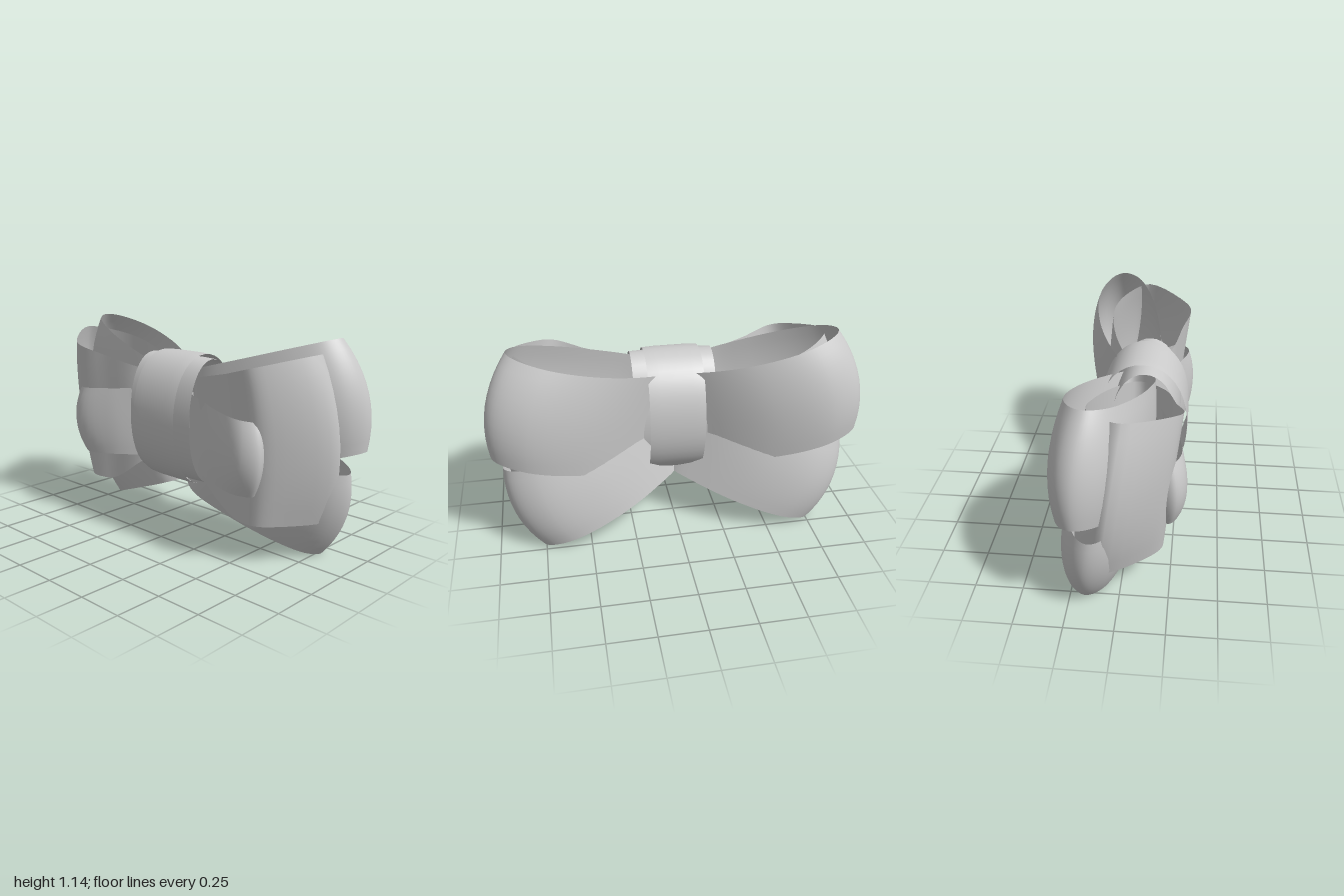
import * as THREE from 'three';

const material = new THREE.MeshStandardMaterial({ color: 0xcccccc, side: THREE.DoubleSide });
const { lerp, smoothstep } = THREE.MathUtils;

// Closed strip: `rows` are rings of points, shared around the seam
function loft(name, rows) {
  const n = rows[0].length, index = [];
  for (let r = 0; r < rows.length - 1; r++) {
    for (let i = 0; i < n; i++) {
      const a = r * n + i, b = r * n + (i + 1) % n;
      index.push(a, b, a + n, b, b + n, a + n);
    }
  }
  const g = new THREE.BufferGeometry().setFromPoints(rows.flat());
  g.setIndex(index);
  g.computeVertexNormals();
  const mesh = new THREE.Mesh(g, material);
  mesh.name = name;
  return mesh;
}

// Ribbon loop: a closed path in (u, z), swept across the ribbon's width.
// above/below give the half widths from the knot (w = 0) to the tip (w = 1);
// the edges draw inwards by bx, bz, and the ribbon leans forward by lean.
function ribbonLoop(name, side, o) {
  const curve = new THREE.CatmullRomCurve3(
    o.path.map(([u, z]) => new THREE.Vector3(u, 0, z)), true, 'centripetal');
  const pts = curve.getPoints(o.segments).slice(0, -1);
  const tip = Math.max(...pts.map(p => p.x));
  const c = Math.cos(o.tilt), s = Math.sin(o.tilt);
  const rows = [];
  for (let r = 0; r <= 10; r++) {
    const v = r / 5 - 1;
    rows.push(pts.map(p => {
      const w = p.x / tip;
      const u = p.x - o.bx * v * v * Math.max(0, p.x - tip / 2);
      const z = p.z - o.bz * v * v * w * (p.z - o.cz) + o.lean * v * w;
      const h = v * (v > 0 ? o.above(w) : o.below(w));
      return new THREE.Vector3(side * (u * c - h * s), o.y + u * s + h * c, z);
    }));
  }
  return loft(name, rows);
}

// Rounded open band wrapped around the middle
function band(name, halfWidth, y0, y1, z0, z1) {
  const rows = [-1, -0.6, 0.6, 1].map(v => {
    const ring = [], shrink = Math.abs(v) === 1 ? 0.99 : 1;
    for (let i = 0; i < 40; i++) {
      const t = i / 40 * Math.PI * 2;
      const f = a => Math.sign(a) * Math.abs(a) ** 0.94 * shrink;
      ring.push(new THREE.Vector3(v * halfWidth,
        (y0 + y1) / 2 + f(Math.sin(t)) * (y1 - y0) / 2,
        (z0 + z1) / 2 + f(Math.cos(t)) * (z1 - z0) / 2));
    }
    return ring;
  });
  return loft(name, rows);
}

const backPath = [[0.06, 0], [0.2, -0.12], [0.5, -0.27], [0.8, -0.315], [0.97, -0.25],
  [1.01, -0.17], [0.96, -0.06], [0.8, 0.04], [0.5, 0.12], [0.2, 0.13]];

const loops = {
  upperLoop: { path: backPath, segments: 64, y: 0.64, tilt: 0.235,
    above: w => lerp(0.25, 0.285, w), below: w => lerp(0.31, 0.28, w),
    bx: 0.12, bz: 0.24, cz: -0.1, lean: 0.03 },
  lowerLoop: { path: backPath.map(([u, z]) => [u * 0.95, z * 0.93]), segments: 64,
    y: 0.54, tilt: -0.34, above: w => lerp(0.19, 0.255, w), below: w => lerp(0.23, 0.255, w),
    bx: 0.11, bz: 0.2, cz: -0.1, lean: 0.025 },
  middleLoop: { path: [[0.08, 0.04], [0.22, 0.17], [0.45, 0.22], [0.64, 0.25], [0.74, 0.2],
    [0.93, -0.03], [0.86, -0.12], [0.7, -0.195], [0.5, -0.195], [0.22, -0.09]],
    segments: 48, y: 0.645, tilt: 0,
    above: w => lerp(0.215, 0.43, w), below: w => lerp(0.22, 0.43, smoothstep(w, 0.1, 0.55)),
    bx: 0.18, bz: 0, cz: 0, lean: 0.06 },
  frontLoop: { path: [[0.08, 0.1], [0.24, 0.19], [0.4, 0.27], [0.6, 0.32], [0.69, 0.27],
    [0.68, 0.21], [0.56, 0.11], [0.4, 0.02], [0.22, -0.02]],
    segments: 48, y: 0.62, tilt: -0.08, above: () => 0.19, below: () => 0.19,
    bx: 0.13, bz: 0.25, cz: 0.17, lean: 0 },
};

export function createModel() {
  const bow = new THREE.Group();
  bow.name = 'bow';

  // Four nested loops on each side
  for (const side of [1, -1]) {
    const half = new THREE.Group();
    half.name = side > 0 ? 'leftLoops' : 'rightLoops';
    for (const [name, o] of Object.entries(loops)) half.add(ribbonLoop(name, side, o));
    bow.add(half);
  }

  // Knot: a wide band with a narrower one over it
  bow.add(band('wideKnotBand', 0.222, 0.32, 0.995, -0.1, 0.26));
  bow.add(band('narrowKnotBand', 0.15, 0.3, 1.012, -0.178, 0.305));
  return bow;
}
